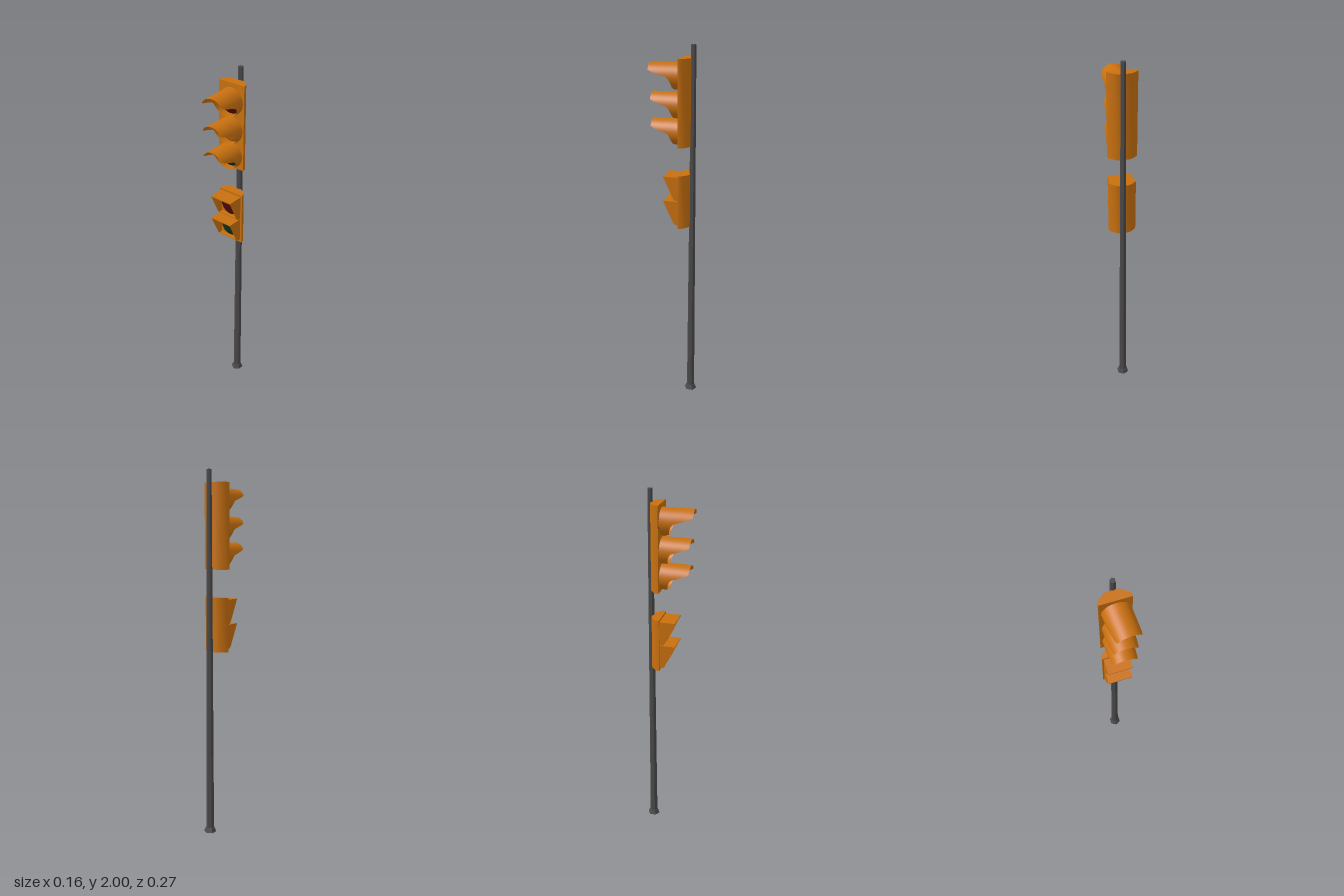
import * as THREE from 'three';
import { toCreasedNormals } from 'three/addons/utils/BufferGeometryUtils.js';

const mat = (color, side = THREE.FrontSide) => new THREE.MeshStandardMaterial({ color, side });
const PANEL_Z = -0.035;

export function createModel() {
  const model = new THREE.Group();
  const orange = mat(0xc8700f);
  const orangeThin = mat(0xc8700f, THREE.DoubleSide);
  const steel = mat(0x4c4a4a);
  const red = mat(0x4a0808), amber = mat(0xb8640f), green = mat(0x06301a);

  const add = (parent, name, geometry, material, x = 0, y = 0, z = 0) => {
    const mesh = new THREE.Mesh(geometry, material);
    mesh.name = name;
    mesh.position.set(x, y, z);
    parent.add(mesh);
    return mesh;
  };

  // Six-sided tapering pole with a flared foot
  const pole = new THREE.Group();
  pole.name = 'pole';
  pole.position.set(0.005, 0, -0.098);
  model.add(pole);
  add(pole, 'shaft', toCreasedNormals(new THREE.CylinderGeometry(0.0135, 0.022, 1.98, 6), 0.5), steel, 0, 1.01);
  add(pole, 'foot', toCreasedNormals(new THREE.CylinderGeometry(0.025, 0.035, 0.025, 6), 0.5), steel, 0, 0.0125);

  // Housing with a flat front and a rounded back
  const housing = (name, halfWidth, bottom, top, x) => {
    const half = [[1, 0], [0.95, 0.02], [0.6, 0.043], [0.36, 0.053]];
    const outline = [
      ...half.map(([u, d]) => new THREE.Vector2(u * halfWidth, d)),
      ...half.slice().reverse().map(([u, d]) => new THREE.Vector2(-u * halfWidth, d)),
    ];
    const g = new THREE.ExtrudeGeometry(new THREE.Shape(outline), { depth: top - bottom, bevelEnabled: false });
    g.rotateX(-Math.PI / 2);
    add(model, name, toCreasedNormals(g, 0.9), orange, x, bottom, PANEL_Z);
  };
  housing('vehicleSignalHousing', 0.078, 1.485, 1.935, -0.002);
  housing('pedestrianSignalHousing', 0.074, 1.04, 1.335, -0.002);

  // Shallow domed lens
  const lens = (name, radius, y, material) => {
    const g = new THREE.SphereGeometry(radius, 24, 6, 0, Math.PI * 2, 0, Math.PI / 2);
    g.rotateX(Math.PI / 2);
    g.scale(1, 1, 0.25);
    add(model, name, g, material, -0.004, y, PANEL_Z);
  };

  // Round visor: a tube cut away below, so only the upper part reaches forward
  const reachKeys = [[0, 1], [65, 0.98], [92, 0.37], [120, 0.29], [180, 0.22]];
  const reach = (deg) => {
    const i = Math.max(1, reachKeys.findIndex(([a]) => a >= deg));
    const [a0, r0] = reachKeys[i - 1], [a1, r1] = reachKeys[i];
    return THREE.MathUtils.lerp(r0, r1, (deg - a0) / (a1 - a0));
  };
  const visor = (y, length, yaw) => {
    const g = new THREE.PlaneGeometry(1, 1, 36, 3);
    const p = g.attributes.position;
    for (let i = 0; i < p.count; i++) {
      const a = p.getX(i) * Math.PI * 2;
      const v = 0.5 - p.getY(i);
      const z = v * length * reach(Math.min(180, Math.abs(a) * 180 / Math.PI));
      const r = 0.069 - 0.02 * z;
      p.setXYZ(i, r * Math.sin(a), r * Math.cos(a), z);
    }
    g.computeVertexNormals();
    add(model, 'roundVisor', g, orangeThin, 0, y, PANEL_Z - 0.003).rotation.y = yaw;
  };

  [
    ['redLens', 1.844, red, 0.17, 0.065],
    ['amberLens', 1.696, amber, 0.159, 0],
    ['greenLens', 1.558, green, 0.157, 0],
  ].forEach(([name, y, material, length, yaw]) => {
    lens(name, 0.064, y, material);
    visor(y, length, yaw);
  });

  // Square hood: flat top, slanted cheeks and a short sill
  const hood = (top, bottom) => {
    const group = new THREE.Group();
    group.name = 'squareHood';
    group.position.set(-0.003, 0, PANEL_Z);
    model.add(group);
    const t = 0.005, w = 0.13;
    const cheek = new THREE.Shape([
      new THREE.Vector2(0, bottom), new THREE.Vector2(0, top),
      new THREE.Vector2(-0.085, top), new THREE.Vector2(-0.03, bottom + 0.012),
      new THREE.Vector2(-0.022, bottom + 0.003),
    ]);
    for (const side of [-1, 1]) {
      const g = new THREE.ExtrudeGeometry(cheek, { depth: t, bevelEnabled: false });
      g.translate(0, 0, -t / 2);
      g.rotateY(Math.PI / 2);
      add(group, 'hoodCheek', g, orange, side * (w - t) / 2);
    }
    add(group, 'hoodTop', new THREE.BoxGeometry(w, t, 0.085), orange, 0, top - t / 2, 0.0425);
    add(group, 'hoodSill', new THREE.BoxGeometry(w, t, 0.022), orange, 0, bottom + t / 2, 0.011);
  };

  [
    ['stopLens', 1.257, red, 1.324],
    ['walkLens', 1.124, green, 1.189],
  ].forEach(([name, y, material, top]) => {
    lens(name, 0.059, y, material);
    hood(top, top - 0.131);
  });

  return model;
}
